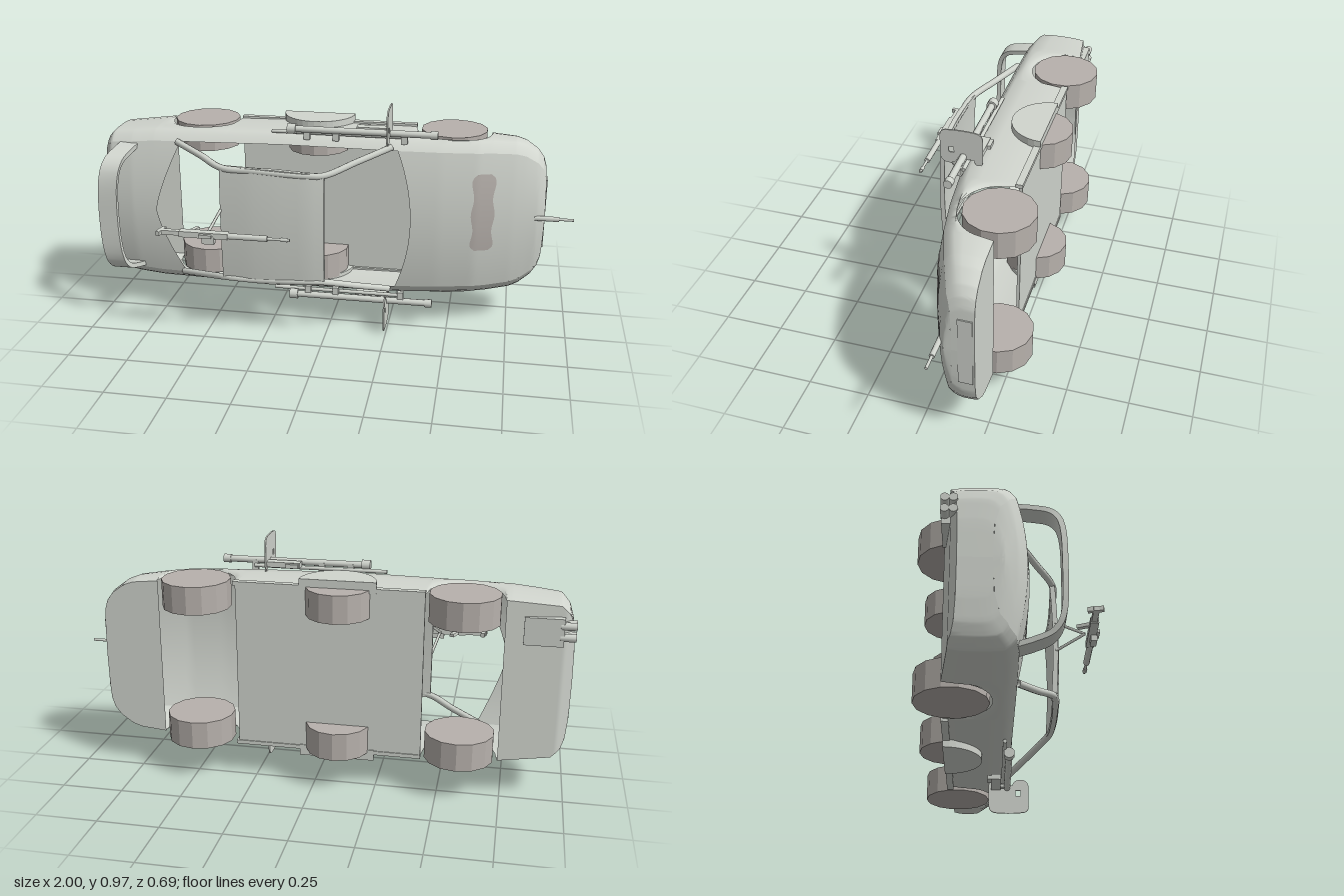
import * as THREE from 'three';
import { toCreasedNormals } from 'three/addons/utils/BufferGeometryUtils.js';

const paint = new THREE.MeshStandardMaterial({ color: 0xd1d5ce, side: THREE.DoubleSide });
paint.name = 'pale grey paint';
const rubber = new THREE.MeshStandardMaterial({ color: 0xb7b1ac, side: THREE.DoubleSide });
rubber.name = 'warm grey rubber';

const V = (x, y, z) => new THREE.Vector3(x, y, z);

// Piecewise linear lookup
function table(pts, x) {
  if (x <= pts[0][0]) return pts[0][1];
  for (let i = 1; i < pts.length; i++) {
    const [a, p] = pts[i - 1], [b, q] = pts[i];
    if (x <= b) return p + (q - p) * (x - a) / (b - a);
  }
  return pts[pts.length - 1][1];
}

// Surface from a rule f(s, t) -> Vector3
function grid(ns, nt, f, crease = 0.6) {
  const pos = [], idx = [];
  for (let i = 0; i <= ns; i++) for (let j = 0; j <= nt; j++) pos.push(...f(i / ns, j / nt).toArray());
  for (let i = 0; i < ns; i++) for (let j = 0; j < nt; j++) {
    const a = i * (nt + 1) + j, b = a + nt + 1;
    idx.push(a, a + 1, b, b, a + 1, b + 1);
  }
  const g = new THREE.BufferGeometry();
  g.setAttribute('position', new THREE.Float32BufferAttribute(pos, 3));
  g.setIndex(idx);
  return toCreasedNormals(g, crease);
}

// Body outline: half width, shoulder height and lower edge along the length
const WIDTH = [[-1, 0], [-0.998, 0.15], [-0.99, 0.24], [-0.975, 0.285], [-0.94, 0.32], [-0.75, 0.339], [-0.2, 0.35],
  [0.3, 0.345], [0.65, 0.336], [0.75, 0.326], [0.79, 0.312], [0.84, 0.275], [0.865, 0.24], [0.877, 0.2], [0.881, 0.14], [0.883, 0]];
const SHOULDER = [[-1, -0.07], [-0.98, -0.02], [-0.95, 0.01], [-0.85, 0.02], [-0.6, 0.02], [0.25, 0.01], [0.45, -0.01],
  [0.6, -0.035], [0.75, -0.085], [0.85, -0.125], [0.885, -0.15]];
const LOWER = [[-1, -0.19], [-0.96, -0.215], [-0.73, -0.245], [-0.44, -0.25], [0.33, -0.25], [0.36, -0.235], [0.88, -0.235]];
const ARCHES = [[-0.58, 0.147], [0.49, 0.155]];
const width = x => table(WIDTH, x), shoulder = x => table(SHOULDER, x), lower = x => table(LOWER, x);
const X0 = -1, X1 = 0.883;

function sillY(x) {
  let y = lower(x);
  for (const [c, r] of ARCHES) {
    const d = Math.abs(x - c);
    if (d < r) y = Math.max(y, -0.213 + Math.sqrt(r * r - d * d));
  }
  return y;
}

// Crowned top skin, v from -1 to 1 across the car
const deck = (x, v, crown, lift = 0) => V(x, shoulder(x) + crown * (1 - v * v) + lift, v * 0.87 * width(x));

export function createModel() {
  const root = new THREE.Group();
  root.name = 'armedCar';
  const car = new THREE.Group();
  car.name = 'carOnItsSide';
  car.rotation.x = Math.PI / 2;
  car.position.y = 0.487;
  root.add(car);

  const add = (name, geo, mat = paint, p = [0, 0, 0], parent = car) => {
    const m = new THREE.Mesh(geo, mat);
    m.name = name;
    m.position.set(...p);
    parent.add(m);
    return m;
  };
  const box = (name, x, y, z, p, parent) => add(name, new THREE.BoxGeometry(x, y, z), paint, p, parent);
  const rod = (name, a, b, r, parent, n = 10) => {
    const d = b.clone().sub(a);
    const m = add(name, new THREE.CylinderGeometry(r, r, d.length(), n), paint, a.clone().lerp(b, 0.5).toArray(), parent);
    m.quaternion.setFromUnitVectors(V(0, 1, 0), d.normalize());
  };

  // Body sides with wheel arches
  for (const s of [1, -1]) {
    add('bodySide', grid(240, 6, (u, t) => {
      const x = X0 + (X1 - X0) * (0.5 - 0.5 * Math.cos(Math.PI * u));
      const w = width(x), yt = shoulder(x), yb = Math.min(sillY(x), yt - 0.03);
      const f = table([[0, 0.975], [0.2, 1], [0.6, 1], [0.8, 0.965], [1, 0.87]], t);
      const y = t < 0.65 ? yb + (yt - 0.04 - yb) * t / 0.667 : yt - 0.04 + 0.04 * (t - 0.667) / 0.333;
      return V(x, y, s * w * f);
    }));
  }

  // Bonnet and boot lid
  add('bonnet', grid(50, 24, (u, t) => {
    const v = t * 2 - 1, a = 0.335 - 0.06 * v * v;
    return deck(a + (X1 - a) * Math.sin(u * Math.PI / 2), v, 0.03);
  }));
  add('bootLid', grid(40, 24, (u, t) => {
    const v = t * 2 - 1, a = -0.745 + 0.11 * Math.abs(v) ** 1.3;
    return deck(a + (X0 - a) * Math.sin(u * Math.PI / 2), v, 0.038);
  }));
  add('bonnetStain', grid(8, 24, (u, t) => {
    const x = 0.628 + (u - 0.5) * (0.086 + 0.01 * Math.sin(t * 15)) * Math.min(1, 0.6 + 8 * t * (1 - t));
    return deck(x, (-0.21 + 0.33 * t) / (0.87 * width(x)), 0.03, 0.003);
  }), rubber);

  // Bumper undersides and floor
  for (const [a, b, n] of [[0.645, X1, 'frontUnderside'], [-0.735, X0, 'rearUnderside']]) {
    add(n, grid(30, 2, (u, t) => {
      const x = a + (b - a) * Math.sin(u * Math.PI / 2);
      return V(x, lower(x), (t * 2 - 1) * 0.975 * width(x));
    }));
  }
  box('floor', 0.75, 0.012, 0.67, [-0.055, -0.245, 0]);
  box('numberPlate', 0.006, 0.055, 0.3, [0.882, -0.2, 0]);

  // Roof panel, crowned and dropping at both ends
  const roof = new THREE.BoxGeometry(0.43, 0.02, 2, 12, 1, 12);
  const rp = roof.attributes.position;
  for (let i = 0; i < rp.count; i++) {
    const x = rp.getX(i) - 0.213, v = rp.getZ(i);
    const drop = table([[-0.43, 0.014], [-0.3, 0.002], [-0.2, 0], [-0.06, 0.002], [0, 0.012]], x);
    rp.setXYZ(i, x, rp.getY(i) + 0.188 - drop - 0.01 * v * v, v * table([[-0.43, 0.25], [-0.2, 0.25], [0, 0.238]], x));
  }
  add('roof', toCreasedNormals(roof, 0.6));

  // Window pillars and roof rails
  for (const s of [1, -1]) {
    const path = new THREE.CatmullRomCurve3([V(-0.65, 0.02, 0.295 * s), V(-0.53, 0.095, 0.268 * s), V(-0.42, 0.165, 0.241 * s),
      V(-0.3, 0.176, 0.239 * s), V(-0.06, 0.176, 0.23 * s), V(0, 0.165, 0.232 * s), V(0.12, 0.09, 0.272 * s), V(0.25, 0.005, 0.315 * s)]);
    add('pillarRail', new THREE.TubeGeometry(path, 48, 0.014, 8));
  }

  // Rear wing: a flat band arched over the boot
  const wing = new THREE.CatmullRomCurve3([V(0, 0.01, -0.272), V(0, 0.07, -0.258), V(0, 0.13, -0.235), V(0, 0.162, -0.19),
    V(0, 0.174, 0), V(0, 0.162, 0.19), V(0, 0.13, 0.235), V(0, 0.07, 0.258), V(0, 0.01, 0.272)]);
  add('rearWing', grid(40, 4, (u, t) => {
    const p = wing.getPoint(u), d = wing.getTangent(u), k = Math.round(t * 4) % 4;
    const h = k < 2 ? 0.01 : -0.01, c = k === 0 || k === 3 ? -0.04 : 0.04;
    return V(-0.878 - 0.2 * p.y + c + 0.25 * p.z * p.z, p.y + d.z * h, p.z - d.y * h);
  }));

  // Road wheels
  for (const s of [1, -1]) {
    for (const [x, y, r, n] of [[-0.58, -0.213, 0.139, 'rearWheel'], [0.49, -0.213, 0.139, 'frontWheel'],
      [-0.09, -0.222, 0.13, 'middleWheel']]) {
      const g = new THREE.CylinderGeometry(r, r, 0.114, 14).toNonIndexed();
      g.computeVertexNormals();
      add(n, g, rubber, [x, y, s * 0.286]).rotation.x = Math.PI / 2;
    }
    // Half-round cover over the middle wheel
    const cover = new THREE.Shape();
    cover.absarc(0, 0, 0.152, 0, Math.PI, false);
    add('middleWheelCover', new THREE.ExtrudeGeometry(cover, { depth: 0.045, bevelEnabled: false, curveSegments: 9 }),
      paint, [-0.09, -0.255, s > 0 ? 0.33 : -0.375]);
    box('sillStep', 0.76, 0.028, 0.016, [-0.05, -0.241, s * 0.341]);
  }

  // Side launchers with shields
  for (const s of [1, -1]) {
    const g = new THREE.Group();
    g.name = 'sideLauncher';
    car.add(g);
    const z = s * 0.372;
    rod('launchTube', V(-0.16, 0.003, z), V(0.435, 0.003, z), 0.014, g);
    rod('tubeBreech', V(-0.18, 0.003, z), V(-0.145, 0.003, z), 0.022, g);
    rod('tubeMuzzle', V(0.405, 0.003, z), V(0.435, 0.003, z), 0.018, g);
    rod('lowerTube', V(-0.25, -0.015, s * 0.353), V(0.3, -0.015, s * 0.353), 0.008, g);
    box('receiver', 0.14, 0.04, 0.022, [0.17, -0.045, z], g);
    box('sight', 0.05, 0.03, 0.016, [0.13, -0.065, z], g);
    box('grip', 0.02, 0.05, 0.014, [0.22, -0.03, z], g);
    for (const x of [-0.1, 0.02, 0.3]) box('mount', 0.025, 0.022, 0.045, [x, 0, s * 0.352], g);

    // Rounded shield in lateral and height axes, with a viewing slot
    const shield = new THREE.Shape();
    shield.moveTo(0.362, -0.04);
    shield.quadraticCurveTo(0.34, -0.045, 0.338, -0.06);
    shield.quadraticCurveTo(0.34, -0.074, 0.36, -0.075);
    shield.lineTo(0.45, -0.075);
    shield.quadraticCurveTo(0.482, -0.075, 0.484, -0.04);
    shield.quadraticCurveTo(0.488, 0.02, 0.482, 0.07);
    shield.quadraticCurveTo(0.48, 0.094, 0.455, 0.095);
    shield.lineTo(0.375, 0.095);
    shield.quadraticCurveTo(0.336, 0.095, 0.336, 0.06);
    shield.quadraticCurveTo(0.338, 0.03, 0.362, 0.025);
    const slot = new THREE.Path();
    slot.setFromPoints([[0.385, 0.04], [0.408, 0.04], [0.408, 0.06], [0.385, 0.06]].map(p => new THREE.Vector2(...p)));
    shield.holes.push(slot);
    add('shield', new THREE.ExtrudeGeometry(shield, { depth: 0.006, bevelEnabled: false, curveSegments: 5 }),
      paint, [s > 0 ? 0.243 : 0.237, 0, 0], g).rotation.y = -s * Math.PI / 2;
  }

  // Roof gun on a tripod
  const gun = new THREE.Group();
  gun.name = 'roofGun';
  gun.position.z = -0.008;
  car.add(gun);
  for (const s of [1, -1]) rod('tripodLeg', V(-0.425, 0.175, 0.06 * s), V(-0.45, 0.285, 0), 0.006, gun, 6);
  box('receiver', 0.2, 0.032, 0.024, [-0.46, 0.312, 0], gun);
  box('stock', 0.1, 0.022, 0.018, [-0.6, 0.31, 0], gun);
  box('stockPlate', 0.016, 0.06, 0.018, [-0.64, 0.308, 0], gun).rotation.z = 0.2;
  box('handGrip', 0.018, 0.05, 0.014, [-0.512, 0.275, 0], gun).rotation.z = 0.4;
  box('ammoBox', 0.05, 0.024, 0.034, [-0.44, 0.318, 0.018], gun);
  box('topSight', 0.05, 0.012, 0.014, [-0.45, 0.334, 0], gun);
  rod('barrelJacket', V(-0.37, 0.314, 0), V(-0.2, 0.314, 0), 0.013, gun, 8);
  rod('barrel', V(-0.2, 0.314, 0), V(-0.11, 0.314, 0), 0.006, gun, 8);
  rod('muzzle', V(-0.145, 0.314, 0), V(-0.12, 0.314, 0), 0.009, gun, 8);

  // Nose gun
  rod('noseGunSleeve', V(0.84, -0.097, -0.008), V(0.94, -0.097, -0.008), 0.011, car, 8);
  rod('noseGunBarrel', V(0.94, -0.097, -0.008), V(1, -0.097, -0.008), 0.006, car, 8);

  // Silencer and twin exhaust pipes
  box('silencer', 0.15, 0.05, 0.11, [-0.88, -0.222, -0.215]);
  for (const z of [-0.24, -0.195]) for (const y of [-0.235, -0.205])
    rod('exhaustPipe', V(-0.94, y, z), V(-1, y, z), 0.016, car, 10);

  return root;
}
